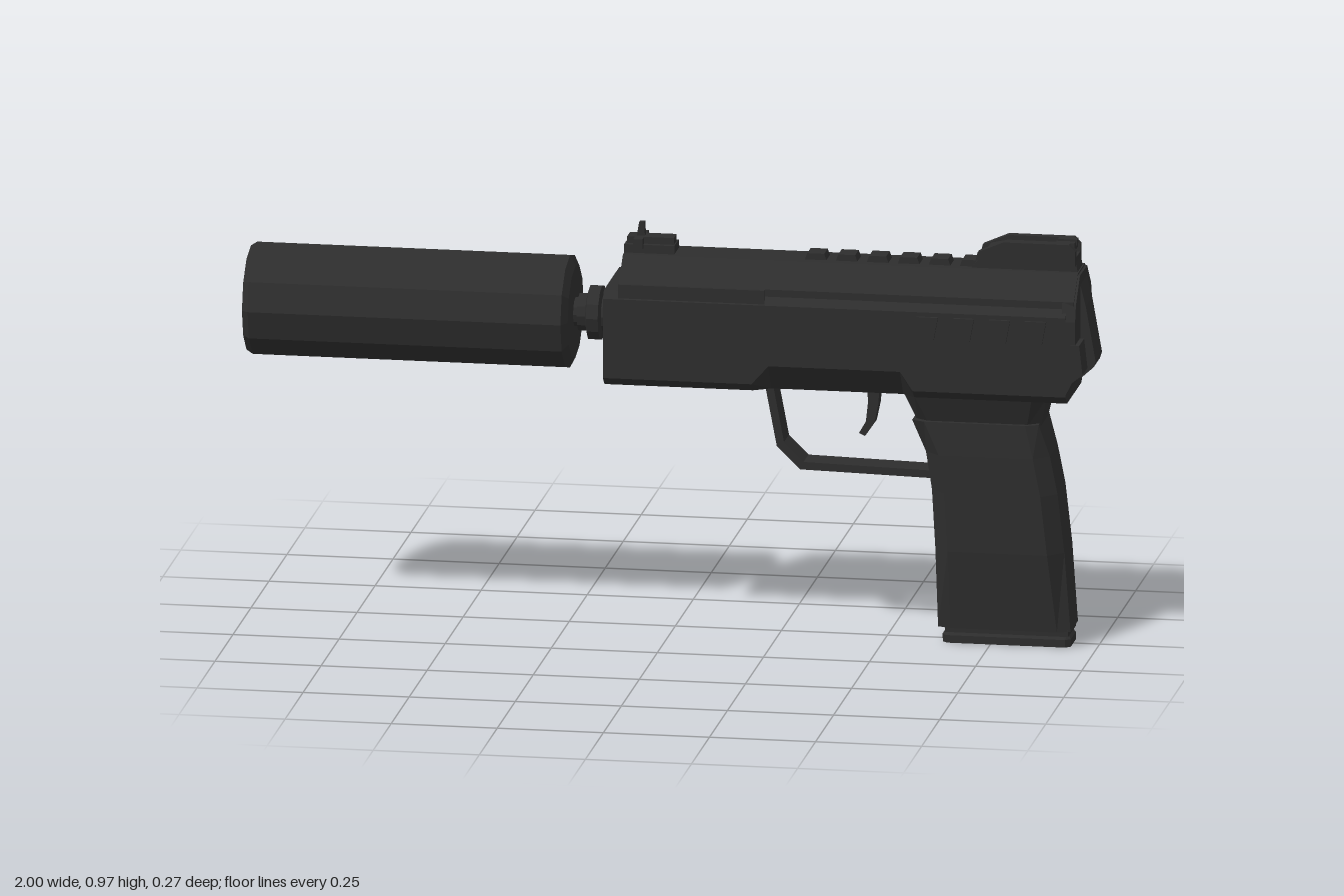
import * as THREE from 'three';

const gunmetal = new THREE.MeshStandardMaterial({ color: 0x2d2d2d, flatShading: true });
gunmetal.name = 'gunmetal';

// Skin a stack of rings (each counter-clockwise seen from the far end) and cap both ends
function loft(rings) {
  const pos = [];
  const n = rings[0].length;
  const tri = (a, b, c) => pos.push(...a, ...b, ...c);
  for (let s = 0; s < rings.length - 1; s++) {
    for (let i = 0; i < n; i++) {
      const j = (i + 1) % n, p = rings[s], q = rings[s + 1];
      tri(p[i], p[j], q[j]);
      tri(p[i], q[j], q[i]);
    }
  }
  const first = rings[0], last = rings[rings.length - 1];
  for (let i = 1; i < n - 1; i++) {
    tri(first[0], first[i + 1], first[i]);
    tri(last[0], last[i], last[i + 1]);
  }
  const g = new THREE.BufferGeometry();
  g.setAttribute('position', new THREE.Float32BufferAttribute(pos, 3));
  g.computeVertexNormals();
  return g;
}

// Mirrored ring across z at a given x; half lists [z, y] from top to bottom
const ringX = (x, half) => [
  ...half.map(([z, y]) => [x, y, z]),
  ...[...half].reverse().map(([z, y]) => [x, y, -z]),
];

// Chamfered ring at height y: front x, back x, half width, half width of the end faces, chamfer length
const ringY = (y, f, b, w, c, k) => [
  [b, y, c], [b, y, -c], [b - k, y, -w], [f + k, y, -w],
  [f, y, -c], [f, y, c], [f + k, y, w], [b - k, y, w],
];

// Side profile in x, y extruded symmetrically across z
function plate(points, width) {
  const shape = new THREE.Shape(points.map(([x, y]) => new THREE.Vector2(x, y)));
  return new THREE.ExtrudeGeometry(shape, { depth: width, bevelEnabled: false }).translate(0, 0, -width / 2);
}

// Box given by its limits
const box = (x0, x1, y0, y1, z0, z1) =>
  new THREE.BoxGeometry(x1 - x0, y1 - y0, z1 - z0).translate((x0 + x1) / 2, (y0 + y1) / 2, (z0 + z1) / 2);

// Turned part along x; points are [radius, -x]
const turned = (points, sides) =>
  new THREE.LatheGeometry(points.map(([r, y]) => new THREE.Vector2(r, y)), sides)
    .rotateZ(Math.PI / 2).translate(0, 0.745, 0);

export function createModel() {
  const model = new THREE.Group();
  const add = (name, geometry) => {
    const mesh = new THREE.Mesh(geometry, gunmetal);
    mesh.name = name;
    model.add(mesh);
    return mesh;
  };

  // Suppressor with bored muzzle, and its stepped coupling
  add('suppressor', turned([
    [0, 0.235], [0.11, 0.235], [0.135, 0.248], [0.135, 0.985], [0.125, 1],
    [0.04, 1], [0.04, 0.88], [0, 0.88],
  ], 12));
  add('coupling', turned([
    [0, 0.1], [0.06, 0.1], [0.06, 0.155], [0.045, 0.155], [0.045, 0.168], [0.065, 0.172],
    [0.065, 0.2], [0.045, 0.205], [0.045, 0.225], [0.035, 0.225], [0.035, 0.25], [0, 0.25],
  ], 12));

  // Slide with bevelled shoulders
  const slideHalf = [[0.05, 0.9], [0.107, 0.845], [0.107, 0.7]];
  add('slide', loft([ringX(-0.115, slideHalf), ringX(0.957, slideHalf)]));

  // Frame, undercut above the trigger guard
  const frameRing = (x, yTop, yBottom, zBottom) =>
    ringX(x, [[0.107, yTop], [0.122, yTop - 0.018], [0.122, yBottom], [zBottom, 0.6]]);
  add('frame', loft([
    frameRing(-0.15, 0.828, 0.62, 0.1), frameRing(0.2, 0.828, 0.62, 0.1),
    frameRing(0.24, 0.828, 0.665, 0.075), frameRing(0.55, 0.828, 0.665, 0.075),
    frameRing(0.58, 0.828, 0.62, 0.1), frameRing(0.94, 0.828, 0.62, 0.1),
  ]));
  for (const s of [-1, 1]) {
    // Raised side strip and rear grip ribs
    add('slideStrip', box(-0.115, 0.23, 0.8, 0.845, s * 0.113 - 0.007, s * 0.113 + 0.007));
    for (let i = 0; i < 4; i++) {
      const x = 0.58 + i * 0.085;
      const rib = add('gripRib', plate([[x, 0.745], [x + 0.05, 0.745], [x + 0.06, 0.8], [x + 0.01, 0.8]], 0.016));
      rib.position.z = s * 0.121;
    }
    // Rear side cheek
    const cheek = add('rearCheek', plate(
      [[0.91, 0.745], [0.972, 0.745], [0.98, 0.675], [0.955, 0.655], [0.94, 0.625], [0.91, 0.64]], 0.07));
    cheek.position.z = s * 0.086;
  }

  // Rear end cap and hammer
  add('rearCap', loft([
    ringX(0.93, [[0.05, 0.9], [0.107, 0.845], [0.12, 0.8], [0.12, 0.66], [0.1, 0.61]]),
    ringX(0.962, [[0.05, 0.895], [0.105, 0.84], [0.118, 0.8], [0.118, 0.68], [0.09, 0.655]]),
  ]));
  add('hammer', plate([
    [0.94, 0.9], [0.955, 0.9], [0.975, 0.82], [0.998, 0.69], [0.993, 0.675], [0.965, 0.65], [0.94, 0.65],
  ], 0.09));

  // Grip, its neck and the magazine base
  add('gripNeck', loft([
    ringY(0.53, 0.58, 0.87, 0.07, 0.05, 0.03),
    ringY(0.6, 0.55, 0.885, 0.096, 0.065, 0.03),
    ringY(0.665, 0.54, 0.89, 0.115, 0.09, 0.02),
  ]));
  add('grip', loft([
    ringY(0.04, 0.628, 0.94, 0.064, 0.052, 0.03),
    ringY(0.23, 0.622, 0.926, 0.09, 0.055, 0.035),
    ringY(0.37, 0.614, 0.91, 0.09, 0.055, 0.035),
    ringY(0.46, 0.6, 0.892, 0.088, 0.055, 0.035),
    ringY(0.538, 0.57, 0.868, 0.084, 0.07, 0.03),
  ]));
  add('magazineCollar', box(0.645, 0.935, 0.028, 0.045, -0.055, 0.055));
  add('magazineBase', loft([
    ringY(0, 0.637, 0.938, 0.046, 0.035, 0.012),
    ringY(0.018, 0.635, 0.938, 0.046, 0.035, 0.012),
    ringY(0.03, 0.645, 0.93, 0.036, 0.03, 0.012),
  ]));

  // Trigger guard strap and trigger
  add('triggerGuard', plate([
    [0.215, 0.61], [0.245, 0.452], [0.3, 0.398], [0.63, 0.39], [0.63, 0.408],
    [0.308, 0.416], [0.262, 0.462], [0.234, 0.61],
  ], 0.07));
  add('trigger', plate([
    [0.455, 0.62], [0.457, 0.56], [0.452, 0.515], [0.436, 0.487], [0.45, 0.48],
    [0.472, 0.512], [0.482, 0.56], [0.484, 0.62],
  ], 0.036));

  // Rail teeth along the top
  for (let i = 0; i < 6; i++) {
    const x = 0.308 + i * 0.073;
    add('railTooth', plate([[x, 0.895], [x + 0.054, 0.895], [x + 0.047, 0.915], [x + 0.007, 0.915]], 0.05));
  }

  // Front sight
  add('frontSightBase', box(-0.115, 0.003, 0.895, 0.92, -0.032, 0.032));
  add('frontSightBlock', box(-0.11, 0, 0.915, 0.936, -0.02, 0.02));
  add('frontSightBar', box(-0.092, -0.07, 0.912, 0.936, -0.045, 0.045));
  add('frontSightBlade', plate([[-0.09, 0.93], [-0.07, 0.93], [-0.072, 0.968], [-0.084, 0.968]], 0.016));

  // Rear sight with side posts, bridge and notch
  add('rearSightRamp', plate([[0.7, 0.895], [0.955, 0.895], [0.95, 0.92], [0.72, 0.92]], 0.07));
  add('rearSightBase', plate([[0.715, 0.915], [0.95, 0.915], [0.95, 0.934], [0.735, 0.934]], 0.09));
  add('rearSightBridge', plate([[0.74, 0.946], [0.945, 0.946], [0.945, 0.955], [0.78, 0.955]], 0.09));
  for (const s of [-1, 1]) {
    const post = add('rearSightPost', plate(
      [[0.715, 0.92], [0.95, 0.92], [0.95, 0.95], [0.935, 0.966], [0.78, 0.966], [0.72, 0.94]], 0.02));
    post.position.z = s * 0.035;
    add('rearSightEar', box(0.9, 0.945, 0.952, 0.966, s * 0.018 - 0.01, s * 0.018 + 0.01));
  }

  return model;
}
